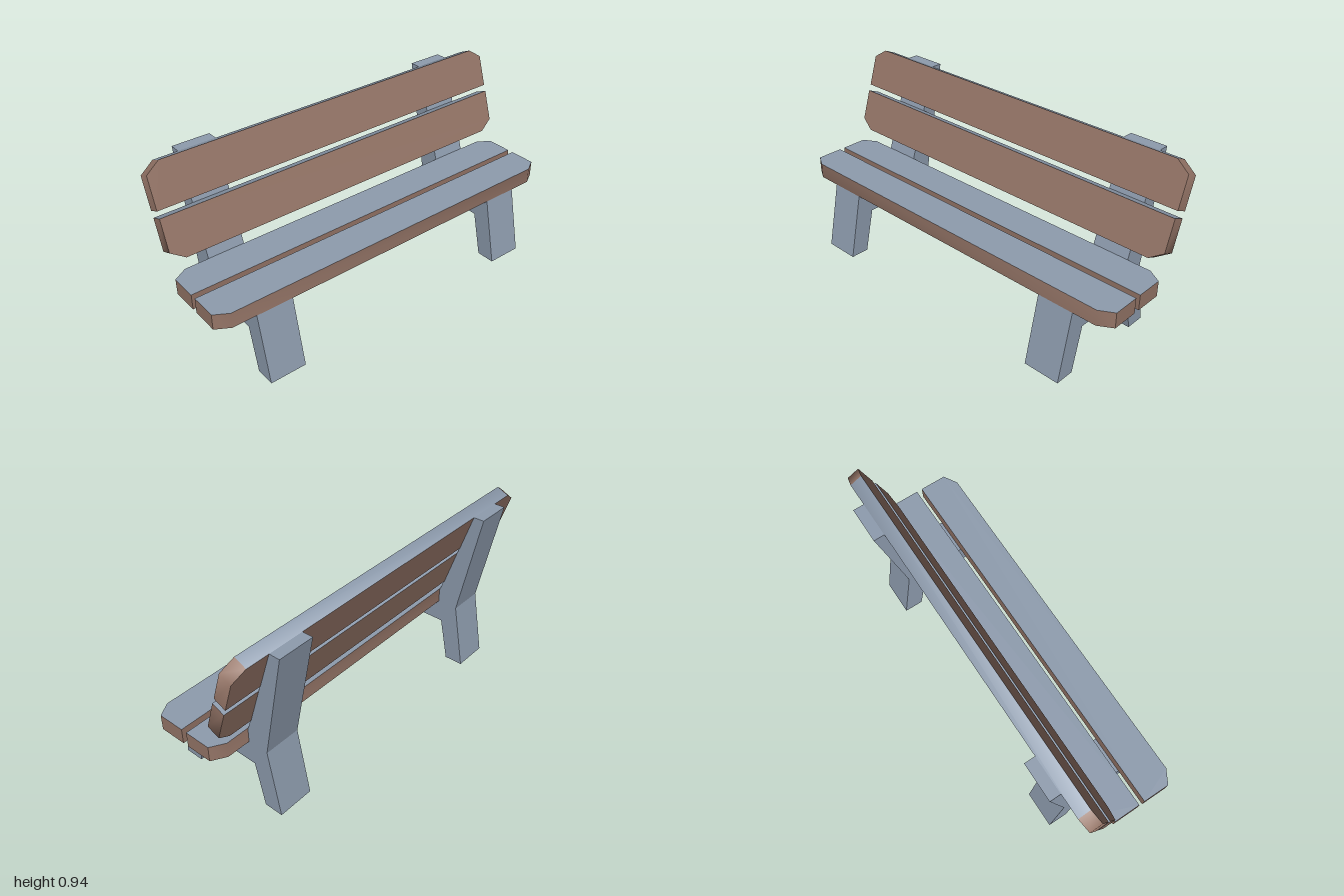
import * as THREE from 'three';
import { toCreasedNormals } from 'three/addons/utils/BufferGeometryUtils.js';

const wood = new THREE.MeshStandardMaterial({ color: 0x967668 });
const slate = new THREE.MeshStandardMaterial({ color: 0x8e9cae });

function shapeOf(points) {
  return new THREE.Shape(points.map(([x, y]) => new THREE.Vector2(x, y)));
}

// Plank with two clipped corners. It starts at `origin`; `across` runs toward
// the clipped edge and `depth` through the thickness (both as [y, z]).
function plank(name, origin, across, depth) {
  const outline = shapeOf([[-1, 0], [1, 0], [1, 0.77], [0.93, 1], [-0.93, 1], [-1, 0.77]]);
  let geo = new THREE.ExtrudeGeometry(outline, { depth: 1, bevelEnabled: false });
  const m = new THREE.Matrix4().makeBasis(
    new THREE.Vector3(1, 0, 0),
    new THREE.Vector3(0, ...across),
    new THREE.Vector3(0, ...depth)
  ).setPosition(0, ...origin);
  geo.applyMatrix4(m);
  geo = toCreasedNormals(geo, 1.03);

  // Upward faces are slate, the rest is wood
  geo.clearGroups();
  const pos = geo.attributes.position;
  const tri = new THREE.Triangle();
  const n = new THREE.Vector3();
  for (let i = 0; i < pos.count; i += 3) {
    tri.setFromAttributeAndIndices(pos, i, i + 1, i + 2);
    tri.getNormal(n);
    geo.addGroup(i, 3, n.y > 0.85 ? 1 : 0);
  }
  const mesh = new THREE.Mesh(geo, [wood, slate]);
  mesh.name = name;
  return mesh;
}

// Side support: front leg, seat rail, rear leg and back post in one profile of [z, y]
function support(name, centerX) {
  const width = 0.19;
  const profile = [
    [0.345, 0], [0.27, 0.347], [-0.12, 0.347], [-0.12, 0.42], [-0.287, 0.917],
    [-0.343, 0.917], [-0.23, 0.347], [-0.295, 0], [-0.195, 0], [-0.145, 0.23],
    [0.19, 0.23], [0.245, 0]
  ];
  const geo = new THREE.ExtrudeGeometry(
    shapeOf(profile.map(([z, y]) => [-z, y])),
    { depth: width, bevelEnabled: false }
  );
  geo.translate(0, 0, -width / 2).rotateY(Math.PI / 2);
  const mesh = new THREE.Mesh(geo, slate);
  mesh.position.x = centerX;
  mesh.name = name;
  return mesh;
}

export function createModel() {
  const bench = new THREE.Group();
  bench.name = 'bench';
  bench.add(
    support('leftSupport', 0.713),
    support('rightSupport', -0.713),
    plank('frontSeatPlank', [0.427, 0.09], [0, 0.18], [-0.08, 0]),
    plank('rearSeatPlank', [0.347, 0.06], [0, -0.18], [0.08, 0]),
    plank('upperBackPlank', [0.717, -0.222], [0.2, -0.065], [0.028, 0.062]),
    plank('lowerBackPlank', [0.713, -0.147], [-0.2, 0.064], [-0.027, -0.063])
  );
  return bench;
}
